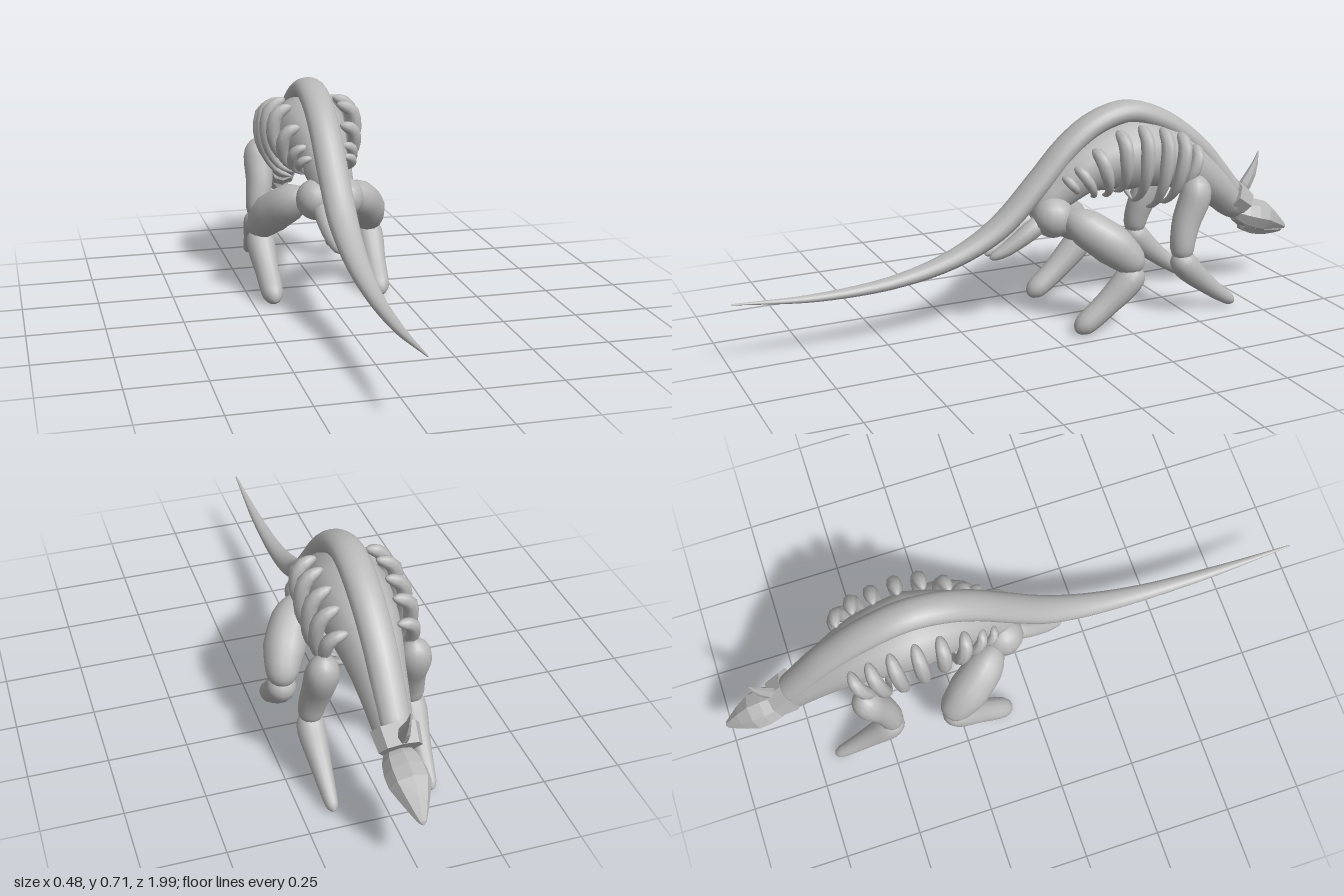
import * as THREE from 'three';

const bone = new THREE.MeshStandardMaterial({ color: 0xb8b8b8 });
bone.name = 'bone grey';

// Smooth body swept through [x, y, z, radius] stations.
// wide scales the ring along ref; caps are rounded over the given fractions.
function sweep(stations, { ref = [1, 0, 0], wide = 1, sides = 14, rings = 18, cap = [0.15, 0.15], flat = false } = {}) {
  const path = new THREE.CatmullRomCurve3(stations.map(s => new THREE.Vector3(s[0], s[1], s[2])));
  const R = new THREE.Vector3(...ref);
  const pos = [], index = [];
  const round = (d, c) => (d >= c ? 1 : Math.sqrt(Math.max(0, 1 - (1 - d / c) ** 2)));
  for (let i = 0; i <= rings; i++) {
    const t = (1 - Math.cos(Math.PI * i / rings)) / 2;
    const p = path.getPoint(t), T = path.getTangent(t);
    const S = R.clone().addScaledVector(T, -R.dot(T)).normalize();
    const U = T.clone().cross(S);
    const f = t * (stations.length - 1), k = Math.min(Math.floor(f), stations.length - 2);
    const r = THREE.MathUtils.lerp(stations[k][3], stations[k + 1][3], f - k) * round(t, cap[0]) * round(1 - t, cap[1]);
    for (let j = 0; j < sides; j++) {
      const a = j / sides * Math.PI * 2;
      const v = p.clone().addScaledVector(S, Math.cos(a) * r * wide).addScaledVector(U, Math.sin(a) * r);
      pos.push(v.x, v.y, v.z);
      if (i < rings) {
        const b = i * sides + j, c = i * sides + (j + 1) % sides;
        index.push(b, c, b + sides, c, c + sides, b + sides);
      }
    }
  }
  let g = new THREE.BufferGeometry();
  g.setAttribute('position', new THREE.Float32BufferAttribute(pos, 3));
  g.setIndex(index);
  if (flat) g = g.toNonIndexed();
  g.computeVertexNormals();
  return g;
}

export function createModel() {
  const model = new THREE.Group();
  model.name = 'creature';
  const add = (name, geometry) => {
    const m = new THREE.Mesh(geometry, bone);
    m.name = name;
    model.add(m);
    return m;
  };
  const mirror = (s, pts) => pts.map(([x, ...rest]) => [x * s, ...rest]);

  // One continuous ridge from tail tip to nape
  add('spineAndTail', sweep([
    [0, 0.222, 0.99, 0.002], [0, 0.202, 0.72, 0.013], [0, 0.215, 0.46, 0.021],
    [0, 0.265, 0.26, 0.030], [0, 0.345, 0.11, 0.037], [0, 0.475, -0.025, 0.039],
    [0, 0.585, -0.13, 0.039], [0, 0.653, -0.23, 0.039], [0, 0.680, -0.345, 0.039],
    [0, 0.635, -0.48, 0.039], [0, 0.535, -0.615, 0.038], [0, 0.44, -0.70, 0.037], [0, 0.35, -0.775, 0.034],
  ], { wide: 1.33, sides: 20, rings: 70, cap: [0.001, 0.02] }));

  // Chest, belly and neck
  add('torso', sweep([
    [0, 0.37, 0.0, 0.05], [0, 0.44, -0.09, 0.065], [0, 0.51, -0.19, 0.09], [0, 0.54, -0.34, 0.122],
    [0, 0.515, -0.49, 0.105], [0, 0.44, -0.62, 0.078], [0, 0.35, -0.73, 0.06], [0, 0.27, -0.80, 0.045],
  ], { wide: 1.04, sides: 14, rings: 22, cap: [0.1, 0.08] }));

  // Head, jaw, collar and crest
  add('head', sweep([
    [0, 0.285, -0.775, 0.04], [0, 0.265, -0.84, 0.055], [0, 0.25, -0.89, 0.054],
    [0, 0.222, -0.945, 0.033], [0, 0.193, -1.0, 0.006],
  ], { wide: 1.18, sides: 8, rings: 8, cap: [0.08, 0.01], flat: true }));
  add('jaw', sweep([
    [0, 0.235, -0.80, 0.022], [0, 0.212, -0.87, 0.03], [0, 0.20, -0.93, 0.021], [0, 0.188, -0.985, 0.007],
  ], { wide: 1.3, sides: 6, rings: 6, cap: [0.05, 0.01], flat: true }));

  const collarGeo = new THREE.CylinderGeometry(0.058, 0.052, 0.065, 8).toNonIndexed();
  collarGeo.rotateX(Math.PI / 2).scale(1.28, 0.95, 1);
  collarGeo.computeVertexNormals();
  const collar = add('collar', collarGeo);
  collar.position.set(0, 0.332, -0.782);
  collar.rotation.x = -0.6;

  add('crest', sweep([
    [0, 0.34, -0.80, 0.02], [0, 0.385, -0.83, 0.026], [0, 0.435, -0.856, 0.014], [0, 0.49, -0.87, 0.001],
  ], { wide: 0.6, sides: 6, rings: 6, cap: [0.01, 0.01], flat: true }));

  // Ribs: [top z, bottom z, top y, bottom y, reach, thickness]
  const ribs = [
    [-0.09, -0.14, 0.50, 0.44, 0.10, 0.015],
    [-0.13, -0.20, 0.53, 0.42, 0.115, 0.018],
    [-0.19, -0.24, 0.585, 0.42, 0.138, 0.023],
    [-0.27, -0.28, 0.64, 0.43, 0.158, 0.024],
    [-0.35, -0.34, 0.65, 0.39, 0.167, 0.024],
    [-0.43, -0.40, 0.635, 0.36, 0.167, 0.024],
    [-0.50, -0.45, 0.61, 0.37, 0.163, 0.024],
    [-0.56, -0.49, 0.56, 0.40, 0.150, 0.022],
  ];

  for (const s of [1, -1]) {
    const side = s > 0 ? 'left' : 'right';

    ribs.forEach(([z0, z1, y0, y1, reach, r], i) => {
      const at = (x, f, k) => [x * reach, y0 + (y1 - y0) * f, z0 + (z1 - z0) * f, r * k];
      add(side + 'Rib' + (i + 1), sweep(mirror(s, [
        at(0.5, 0, 0.7), at(0.82, 0.13, 1), at(0.9, 0.42, 1), at(0.84, 0.68, 0.75),
        at(0.62, 0.9, 0.45), at(0.3, 1, 0.25),
      ]), { ref: [0, 0, 1], sides: 8, rings: 16, cap: [0.12, 0.1] }));
    });

    // Hip joint and the bone running back under the tail
    const hip = add(side + 'Hip', new THREE.SphereGeometry(0.068, 14, 10));
    hip.position.set(s * 0.046, 0.37, -0.058);
    add(side + 'PelvisBone', sweep(mirror(s, [
      [0.035, 0.36, -0.03, 0.035], [0.035, 0.315, 0.04, 0.03], [0.028, 0.275, 0.10, 0.023], [0.02, 0.25, 0.155, 0.014],
    ]), { sides: 10, rings: 10 }));

    // Hind leg
    add(side + 'Thigh', sweep(mirror(s, [
      [0.075, 0.385, -0.085, 0.05], [0.125, 0.335, -0.15, 0.065], [0.165, 0.285, -0.215, 0.068],
      [0.187, 0.235, -0.265, 0.054], [0.192, 0.19, -0.29, 0.035],
    ]), { cap: [0.22, 0.2], rings: 16 }));
    add(side + 'Shin', sweep(mirror(s, [
      [0.19, 0.215, -0.295, 0.046], [0.192, 0.16, -0.25, 0.049], [0.188, 0.10, -0.185, 0.041],
      [0.185, 0.052, -0.125, 0.038], [0.183, 0.018, -0.075, 0.034],
    ]), { cap: [0.15, 0.2], rings: 16 }));

    // Foreleg
    add(side + 'UpperArm', sweep(mirror(s, [
      [0.138, 0.475, -0.545, 0.045], [0.144, 0.40, -0.53, 0.053], [0.147, 0.33, -0.50, 0.048],
      [0.158, 0.26, -0.48, 0.042], [0.165, 0.195, -0.475, 0.036],
    ]), { cap: [0.18, 0.15], rings: 16 }));
    add(side + 'Forearm', sweep(mirror(s, [
      [0.163, 0.222, -0.455, 0.042], [0.163, 0.165, -0.50, 0.045], [0.16, 0.11, -0.56, 0.035],
      [0.158, 0.055, -0.63, 0.026], [0.156, 0.014, -0.69, 0.018],
    ]), { cap: [0.15, 0.1], rings: 16 }));
  }
  return model;
}
